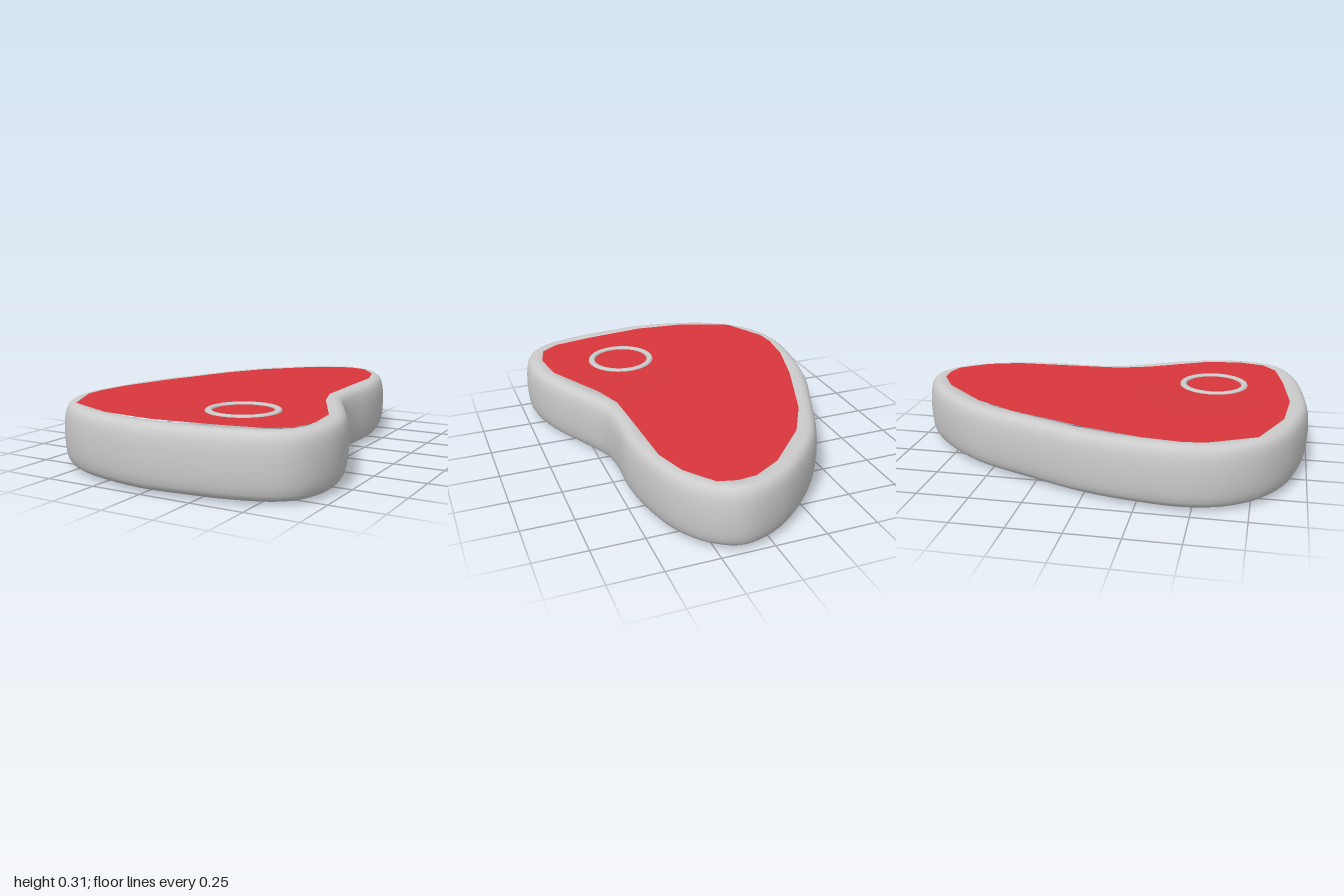
import * as THREE from 'three';

const MID = 0.158, HALF = 0.147; // centre height and half thickness of the slab
const BONE = { x: 0.222, z: 0.512 };

// Outer contour (x, z)
const OUTLINE = [
  [0.135, -1], [0.27, -0.94], [0.385, -0.79], [0.45, -0.58], [0.475, -0.39], [0.47, -0.18],
  [0.485, -0.04], [0.56, 0.125], [0.645, 0.295], [0.705, 0.48], [0.72, 0.64], [0.675, 0.8],
  [0.585, 0.89], [0.4, 0.955], [0.19, 0.985], [-0.02, 0.998], [-0.235, 0.965], [-0.42, 0.905],
  [-0.58, 0.795], [-0.68, 0.65], [-0.722, 0.48], [-0.71, 0.27], [-0.655, 0], [-0.555, -0.26],
  [-0.395, -0.605], [-0.235, -0.8], [-0.05, -0.945],
];

// Coarser contour of the meat (x, z)
const MEAT = [
  [0.055, -0.9], [0.145, -0.908], [0.23, -0.886], [0.33, -0.75], [0.38, -0.59], [0.39, -0.29],
  [0.4, -0.024], [0.452, 0.135], [0.611, 0.447], [0.632, 0.627], [0.6, 0.754], [0.51, 0.823],
  [0.294, 0.865], [-0.008, 0.902], [-0.272, 0.876], [-0.527, 0.77], [-0.638, 0.548],
  [-0.648, 0.442], [-0.627, 0.262], [-0.553, 0.003], [-0.405, -0.389], [-0.288, -0.595],
  [-0.082, -0.818],
];

// Skin between closed rings of equal point count
function loft(rings) {
  const n = rings[0].length, index = [];
  for (let i = 0; i < rings.length - 1; i++) {
    for (let j = 0; j < n; j++) {
      const k = (j + 1) % n;
      const a = i * n + j, b = i * n + k, c = (i + 1) * n + k, d = (i + 1) * n + j;
      index.push(a, d, c, a, c, b);
    }
  }
  const geo = new THREE.BufferGeometry();
  geo.setAttribute('position', new THREE.Float32BufferAttribute(rings.flat(2), 3));
  geo.setIndex(index);
  geo.computeVertexNormals();
  return geo;
}

// Rounded rim: the contour inset step by step from underside to top
function rimGeometry() {
  const curve = new THREE.CatmullRomCurve3(OUTLINE.map(([x, z]) => new THREE.Vector3(x, 0, z)), true);
  const n = 160;
  const samples = Array.from({ length: n }, (_, j) => ({ p: curve.getPointAt(j / n), t: curve.getTangentAt(j / n) }));
  // [inset, height above the middle]
  const upper = [[0, 0], [0.002, 0.05], [0.006, 0.085], [0.013, 0.113], [0.023, 0.131],
    [0.038, 0.142], [0.058, HALF], [0.09, HALF - 0.002], [0.13, HALF - 0.02]];
  const profile = [...upper.slice(1).reverse().map(([d, h]) => [d, -h]), ...upper];
  return loft(profile.map(([d, h]) => samples.map(({ p, t }) => [p.x - t.z * d, MID + h, p.z + t.x * d])));
}

// Meat face, dished slightly around the bone; side is 1 for top, -1 for underside
function meatGeometry(side) {
  const edge = [];
  MEAT.forEach(([x, z], i) => {
    const [x2, z2] = MEAT[(i + 1) % MEAT.length];
    for (let s = 0; s < 4; s++) edge.push([x + (x2 - x) * s / 4, z + (z2 - z) * s / 4]);
  });
  const cx = 0.05, cz = 0.2, steps = 12, rings = [];
  for (let i = 0; i <= steps; i++) {
    const f = 1 - i / steps;
    rings.push(edge.map(([ex, ez]) => {
      const x = cx + (ex - cx) * f, z = cz + (ez - cz) * f;
      const r2 = (x - BONE.x) ** 2 + (z - BONE.z) ** 2;
      const dip = 0.01 * Math.exp(-r2 / 0.09) * Math.min(1, (1 - f) * 4);
      return [x, MID + side * (HALF + 0.001 - dip), z];
    }));
  }
  return loft(side > 0 ? rings : rings.reverse());
}

export function createModel() {
  const model = new THREE.Group();
  const grey = new THREE.MeshStandardMaterial({ color: 0xcccccc });
  const red = new THREE.MeshStandardMaterial({ color: 0xd8363b });
  const add = (name, geometry, material) => {
    const mesh = new THREE.Mesh(geometry, material);
    mesh.name = name;
    model.add(mesh);
    return mesh;
  };

  add('fatRim', rimGeometry(), grey);
  add('meatTop', meatGeometry(1), red);
  add('meatUnderside', meatGeometry(-1), red);

  // Bone ring passing through the slab, just proud of the meat on both faces
  const low = 0.001, high = 0.308;
  const profile = [[0.14, low + 0.012], [0.144, low + 0.003], [0.15, low], [0.165, low], [0.172, low + 0.003],
    [0.176, low + 0.012], [0.176, high - 0.012], [0.172, high - 0.003], [0.165, high], [0.15, high],
    [0.144, high - 0.003], [0.14, high - 0.012], [0.14, low + 0.012]];
  const bone = add('boneRing', new THREE.LatheGeometry(profile.map(([r, y]) => new THREE.Vector2(r, y)), 48), grey);
  bone.position.set(BONE.x, 0, BONE.z);
  return model;
}
